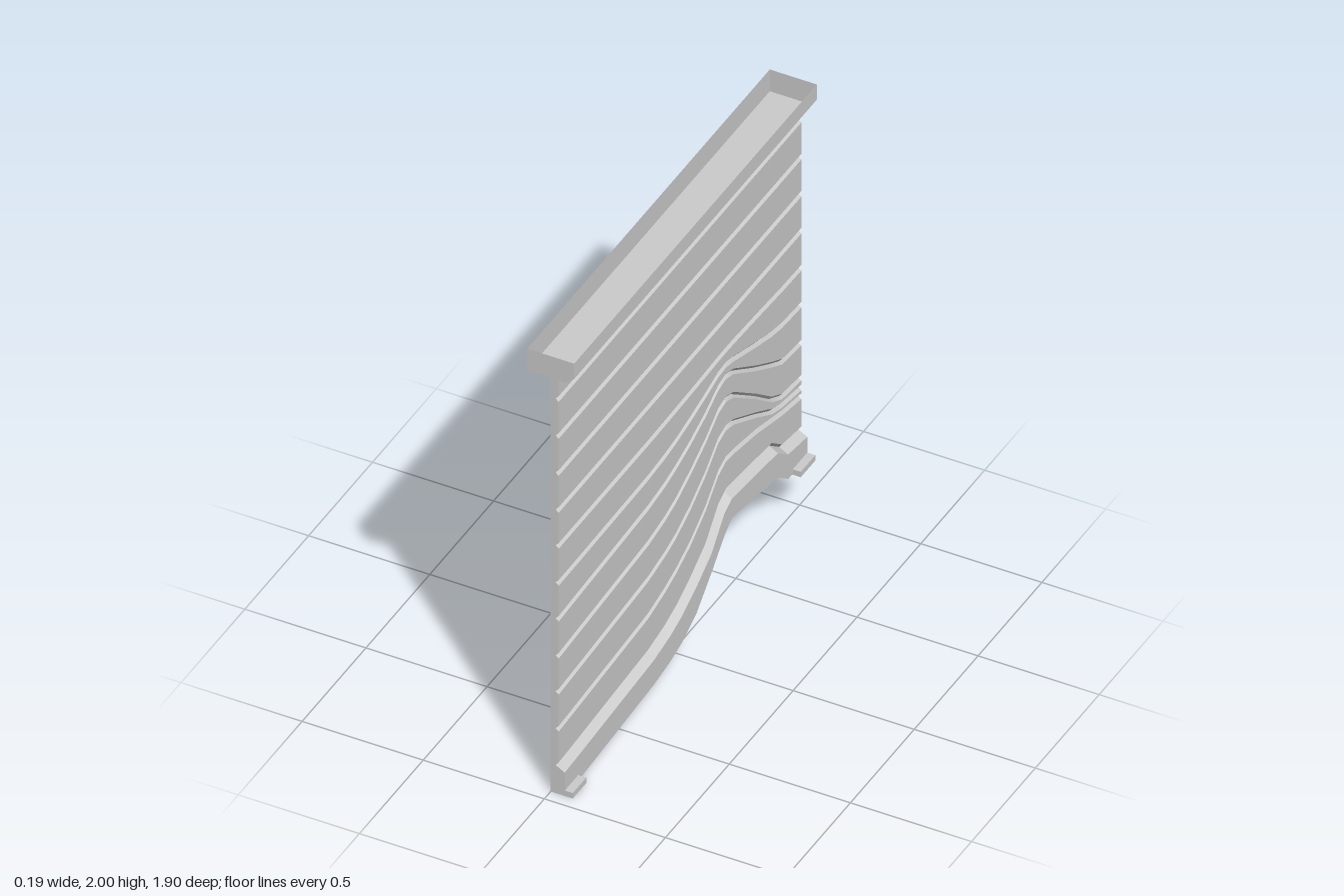
import * as THREE from 'three';
import { toCreasedNormals } from 'three/addons/utils/BufferGeometryUtils.js';

const material = new THREE.MeshStandardMaterial({ color: 0xcccccc, side: THREE.DoubleSide });

// Stations along the panel, from its front end to its back end
const Z = [0.95, 0.83, 0.25, 0.12, 0.03, -0.08, -0.2, -0.3, -0.36, -0.42, -0.6, -0.72, -0.8, -0.95];
// Height of the lower edge, then of each groove, at every station
const bottomEdge = [0, 0, 0.04, 0.06, 0.085, 0.14, 0.25, 0.35, 0.395, 0.385, 0.355, 0.335, 0.275, 0.27];
const railTop = [0.135, 0.142, 0.18, 0.205, 0.235, 0.29, 0.365, 0.48, 0.51, 0.505, 0.488, 0.475, 0.415, 0.395];
const straight = (y) => Z.map(() => y);
const grooves = [
  [0.305, 0.312, 0.35, 0.38, 0.41, 0.46, 0.54, 0.635, 0.66, 0.655, 0.625, 0.595, 0.575, 0.55],
  [0.475, 0.482, 0.52, 0.545, 0.572, 0.625, 0.7, 0.785, 0.803, 0.79, 0.7, 0.635, 0.612, 0.59],
  [0.64, 0.648, 0.685, 0.708, 0.735, 0.785, 0.85, 0.92, 0.935, 0.915, 0.785, 0.69, 0.65, 0.635],
  [0.81, 0.817, 0.847, 0.865, 0.887, 0.922, 0.972, 1.027, 1.04, 1.022, 0.915, 0.85, 0.81, 0.795],
  [0.975, 0.976, 0.985, 0.995, 1.007, 1.03, 1.06, 1.088, 1.093, 1.08, 1.025, 0.992, 0.978, 0.97],
  [1.145, 1.145, 1.145, 1.147, 1.149, 1.152, 1.156, 1.16, 1.161, 1.16, 1.153, 1.147, 1.143, 1.14],
  straight(1.31), straight(1.48), straight(1.65), straight(1.82),
];

// Surface through rows of [x, y, z] points
function gridGeometry(rows) {
  const n = rows[0].length, index = [];
  for (let u = 0; u < rows.length - 1; u++) {
    for (let v = 0; v < n - 1; v++) {
      const a = u * n + v, b = a + 1, c = a + n, d = c + 1;
      index.push(a, b, d, a, d, c);
    }
  }
  const g = new THREE.BufferGeometry();
  g.setAttribute('position', new THREE.Float32BufferAttribute(rows.flat(2), 3));
  g.setIndex(index);
  return toCreasedNormals(g, 0.4);
}

function add(parent, name, geometry) {
  const mesh = new THREE.Mesh(geometry, material);
  mesh.name = name;
  parent.add(mesh);
  return mesh;
}

// Cross-section of the panel at station i, from the bottom rail up
function section(i) {
  const t = railTop[i];
  const points = [
    [0, bottomEdge[i]], [0.058, bottomEdge[i]], [0.058, t - 0.028],
    [0.02, t - 0.006], [0.033, t + 0.01],
  ];
  for (const line of grooves) {
    const y = line[i];
    points.push([0.033, y - 0.018], [0.02, y - 0.007], [0.033, y + 0.008]);
  }
  points.push([0.033, 1.9]);
  return points;
}

export function createModel() {
  const model = new THREE.Group();
  model.name = 'groovedPanel';

  // Grooved face with the bottom rail, open at the rear
  const sections = Z.map((_, i) => section(i));
  const rows = sections[0].map((_, p) => sections.map((s, i) => [s[p][0], s[p][1], Z[i]]));
  add(model, 'panelFace', gridGeometry(rows));

  // Closing strips at both ends of the panel
  for (const [name, i] of [['frontEdge', 0], ['backEdge', Z.length - 1]]) {
    const strip = sections[i].slice(1).map(([x, y]) => {
      const pair = [[0, y, Z[i]], [x, y, Z[i]]];
      return i ? pair.reverse() : pair;
    });
    add(model, name, gridGeometry(strip));
  }

  // Open trough along the top
  const trough = [[-0.097, 2], [-0.097, 1.9], [0.063, 1.9], [0.097, 1.93], [0.097, 2]];
  add(model, 'topTrough', gridGeometry(trough.map(([x, y]) => [[x, y, 0.95], [x, y, -0.95]])));
  const endShape = new THREE.Shape(trough.map(([x, y]) => new THREE.Vector2(x, y)));
  for (const side of [1, -1]) {
    const cap = new THREE.ShapeGeometry(endShape);
    if (side < 0) cap.scale(-1, 1, 1).rotateY(Math.PI);
    cap.translate(0, 0, side * 0.95);
    if (side < 0) {
      // Turn the mirrored faces outward again
      const idx = cap.index.array;
      for (let k = 0; k < idx.length; k += 3) [idx[k], idx[k + 1]] = [idx[k + 1], idx[k]];
      cap.computeVertexNormals();
    }
    add(model, side > 0 ? 'troughFrontEnd' : 'troughBackEnd', cap);
  }

  // Small tabs at the lower corners
  for (const [name, y, z] of [['frontTab', 0, 0.897], ['backTab', 0.27, -0.893]]) {
    const depth = 2 * (0.95 - Math.abs(z));
    add(model, name, new THREE.BoxGeometry(0.035, 0.025, depth)).position.set(0.0735, y + 0.0125, z);
  }
  return model;
}
